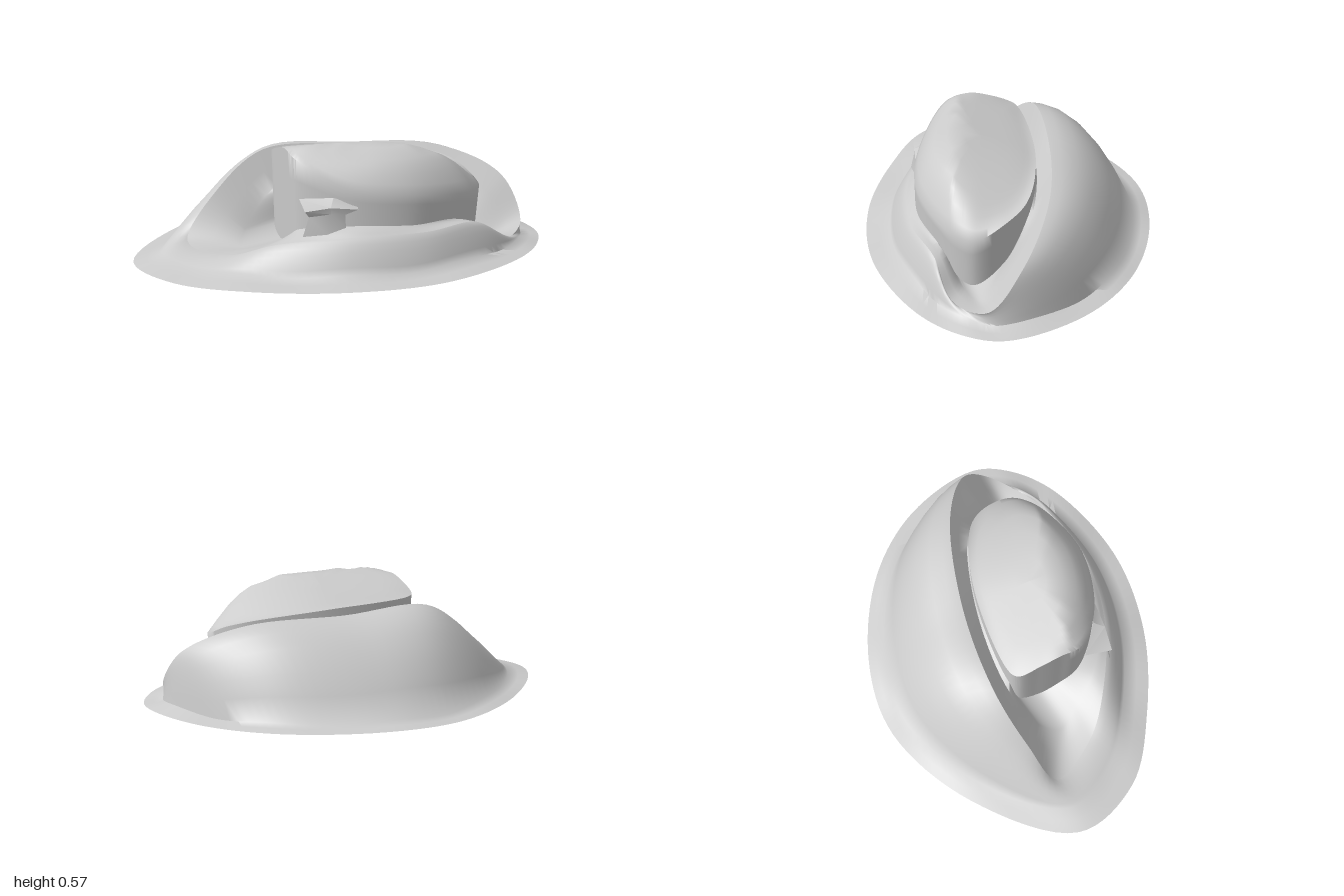
import * as THREE from 'three';
import { toCreasedNormals } from 'three/addons/utils/BufferGeometryUtils.js';

const SEG = 104;
const { lerp, smoothstep } = THREE.MathUtils;
const V = (x, y, z) => new THREE.Vector3(x, y, z);
const mat = new THREE.MeshStandardMaterial({ color: 0xcccccc, side: THREE.DoubleSide });

// Skin between rows of points with equal counts
function skin(rows, name, crease, closed) {
  const n = rows[0].length, pos = [], idx = [];
  rows.forEach(r => r.forEach(p => pos.push(p.x, p.y, p.z)));
  for (let i = 0; i < rows.length - 1; i++) {
    for (let j = 0; j < (closed ? n : n - 1); j++) {
      const k = (j + 1) % n, a = i * n + j, b = i * n + k, c = a + n, d = b + n;
      idx.push(a, b, c, b, d, c);
    }
  }
  const g = new THREE.BufferGeometry();
  g.setAttribute('position', new THREE.Float32BufferAttribute(pos, 3));
  g.setIndex(idx);
  const mesh = new THREE.Mesh(toCreasedNormals(g, crease), mat);
  mesh.name = name;
  return mesh;
}

// Smooth closed loop through a few stations (+x side, back, -x side, front)
function loop(pts) {
  const curve = new THREE.CatmullRomCurve3(pts.map(p => V(...p)), true, 'centripetal');
  return Array.from({ length: SEG }, (_, i) => curve.getPoint(i / SEG));
}

// Sloping top of the central block
const topY = (x, z) => 0.505 + 0.32 * Math.min(z, 0.25)
  - 0.5 * Math.max(0, x - 0.1) ** 2 - 0.5 * Math.max(0, z - 0.25);

export function createModel() {
  const group = new THREE.Group();

  const outline = loop([
    [1, 0.018, 0], [0.82, 0.018, -0.35], [0.5, 0.018, -0.59], [0.04, 0.018, -0.7],
    [-0.35, 0.018, -0.64], [-0.75, 0.018, -0.32], [-1, 0.018, 0.17], [-0.82, 0.018, 0.47],
    [-0.48, 0.015, 0.62], [-0.04, 0.018, 0.7], [0.4, 0.015, 0.64], [0.8, 0.018, 0.41],
    [0.96, 0.018, 0.2]]);
  const ridge = loop([
    [0.905, 0.1, 0.08], [0.84, 0.29, -0.07], [0.56, 0.42, -0.18], [0.08, 0.445, -0.2],
    [-0.35, 0.455, -0.13], [-0.6, 0.28, -0.01], [-0.74, 0.09, 0.11], [-0.57, 0.08, 0.31],
    [-0.34, 0.16, 0.42], [-0.02, 0.2, 0.49], [0.35, 0.2, 0.46], [0.62, 0.19, 0.33],
    [0.78, 0.07, 0.25]]);
  const valley = loop([
    [0.76, 0.055, 0.12], [0.66, 0.16, 0.03], [0.53, 0.31, -0.095], [0.12, 0.36, -0.135],
    [-0.29, 0.29, -0.06], [-0.46, 0.12, 0.07], [-0.49, 0.07, 0.18], [-0.4, 0.1, 0.27],
    [-0.27, 0.18, 0.38], [-0.02, 0.225, 0.46], [0.32, 0.215, 0.435], [0.57, 0.19, 0.29],
    [0.68, 0.07, 0.2]]);
  const shoulder = loop([
    [0.67, 0.32, 0.14], [0.61, 0.38, 0], [0.5, 0.42, -0.09], [0.15, 0.46, -0.13],
    [-0.29, 0.48, -0.04], [-0.32, 0.49, 0], [-0.305, 0.53, 0.1], [-0.28, 0.555, 0.2],
    [-0.24, 0.53, 0.31], [0, 0.41, 0.43], [0.3, 0.37, 0.43], [0.55, 0.33, 0.31],
    [0.64, 0.32, 0.22]]);

  // Brim, slightly rippled, wider along the front
  const front = outline.map(p => smoothstep(p.z, 0.15, 0.6));
  const brim = t => outline.map((p, j) => {
    const s = 1 - t * (0.12 + 0.05 * front[j] - 0.03 * Math.max(0, p.x));
    const ripple = 0.006 * t * Math.sin(j / SEG * Math.PI * 18);
    return V(p.x * s, p.y + 0.02 * t + 0.01 * t * front[j] + ripple, p.z * s);
  });
  const foot = brim(1);

  // Domed outer wall at the back, straighter mound at the front
  const wall = t => foot.map((p, j) => {
    const q = p.clone().lerp(ridge[j], t);
    q.y = lerp(p.y, ridge[j].y, 1 - (1 - t) ** lerp(2.2, 1.4, front[j]));
    return q;
  });

  // Central block: steep sides and a sloping rounded cap
  const side = t => shoulder.map((p, j) => V(
    p.x * (0.97 + 0.03 * t), lerp(valley[j].y + 0.01, p.y, t), p.z));
  const centre = V(0.12, 0, 0.13);
  const cap = t => shoulder.map(p => {
    const q = p.clone().lerp(centre, t);
    q.y = lerp(p.y, topY(q.x, q.z), 1 - (1 - t) ** 8);
    return q;
  });

  group.add(skin([outline, brim(0.5), foot, ...[0.15, 0.3, 0.5, 0.7, 0.88].map(wall), ridge],
    'brimAndWall', 1.1, true));
  // Slanted inner face of the wall, running down to the block
  const innerWall = ridge.map((p, j) => p.clone().lerp(valley[j], 0.5));
  group.add(skin([ridge, innerWall, valley, side(0)], 'innerHollow', 1.1, true));
  group.add(skin(
    [side(0), side(0.35), side(0.7), shoulder, ...[0.06, 0.14, 0.22, 0.3, 0.5, 0.75, 0.999].map(cap)],
    'centralBlock', 1.1, true));

  // Small folded flap on the front of the block
  group.add(skin([
    [V(-0.23, 0.21, 0.47), V(-0.12, 0.22, 0.485), V(-0.03, 0.24, 0.46)],
    [V(-0.2, 0.3, 0.46), V(-0.1, 0.31, 0.465), V(-0.03, 0.3, 0.45)],
    [V(-0.22, 0.33, 0.475), V(-0.1, 0.34, 0.465), V(0.03, 0.32, 0.445)],
    [V(-0.23, 0.35, 0.34), V(-0.08, 0.37, 0.41), V(0.03, 0.34, 0.425)],
  ], 'frontFlap', 0.5, false));

  return group;
}
